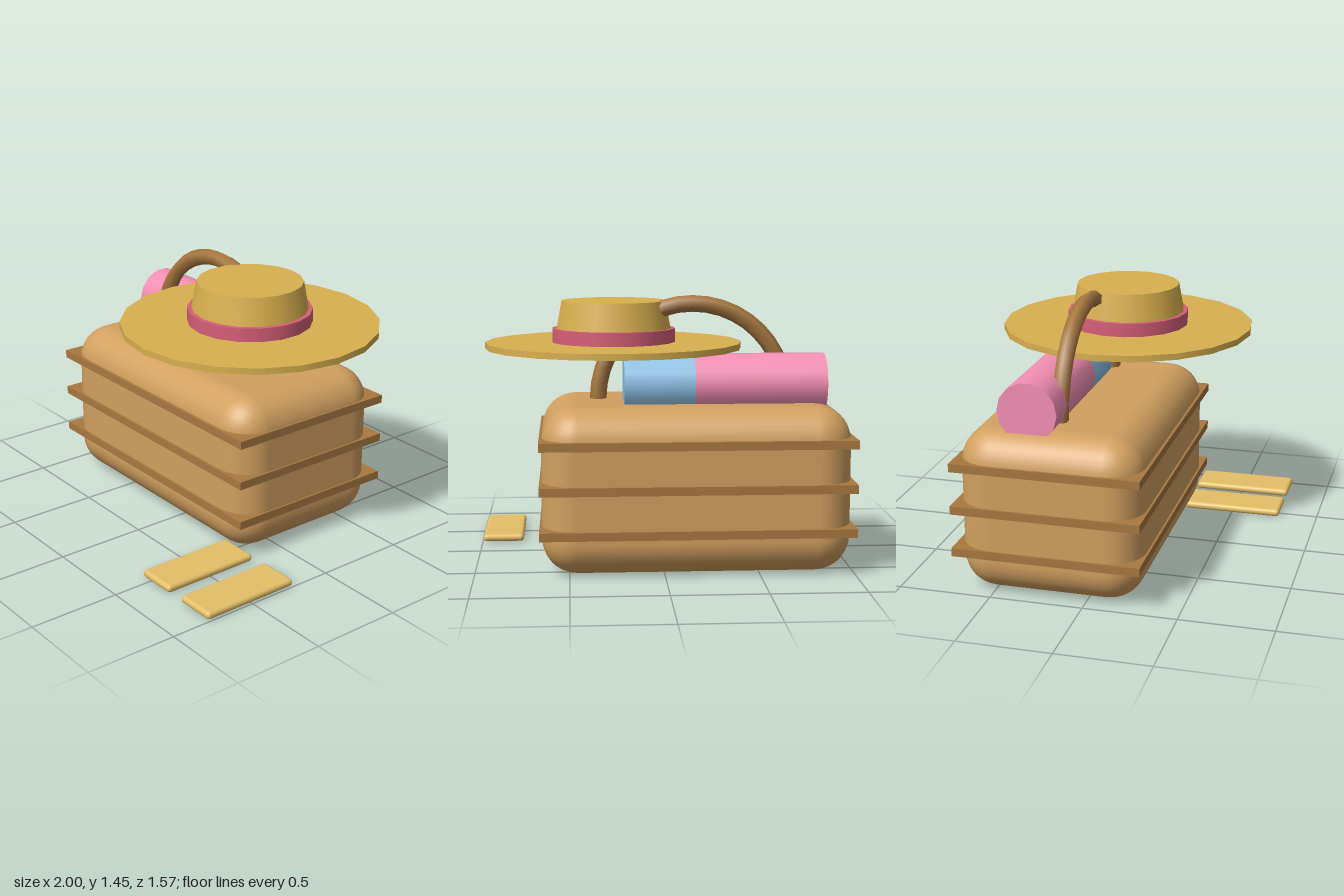
import * as THREE from 'three';
import { RoundedBoxGeometry } from 'three/addons/geometries/RoundedBoxGeometry.js';

const material = (color) => new THREE.MeshStandardMaterial({ color });
const wicker = material(0xd2a060);
const strap = material(0xa87840);
const straw = material(0xd9b04f);
const ribbon = material(0xd65f78);
const pink = material(0xf48fb4);
const blue = material(0x8fc3e8);
const sole = material(0xe5bf68);

export function createModel() {
  const model = new THREE.Group();
  model.name = 'picnicBasketSet';

  function add(name, geometry, mat, x, y, z, parent = model) {
    const mesh = new THREE.Mesh(geometry, mat);
    mesh.name = name;
    mesh.position.set(x, y, z);
    parent.add(mesh);
    return mesh;
  }

  // Basket with three flat bands and an arched hexagonal handle
  const basket = new THREE.Group();
  basket.name = 'basket';
  basket.position.set(-0.172, 0, -0.2);
  model.add(basket);
  add('basketBody', new RoundedBoxGeometry(1.635, 0.885, 0.98, 4, 0.19), wicker, 0, 0.4475, 0, basket);
  for (const y of [0.238, 0.472, 0.705]) {
    add('basketBand', new THREE.BoxGeometry(1.656, 0.045, 1.005), strap, 0, y, 0, basket);
  }
  add('handle', new THREE.TorusGeometry(0.51, 0.045, 6, 20, Math.PI), strap, 0, 0.895, 0, basket);

  // Two-coloured rolled towel lying along x
  const towel = new THREE.Group();
  towel.name = 'rolledTowel';
  towel.position.set(0, 0.988, -0.32);
  model.add(towel);
  for (const [name, x0, x1, mat] of [['pinkRoll', -0.87, -0.17, pink], ['blueRoll', -0.17, 0.205, blue]]) {
    const roll = add(name, new THREE.CylinderGeometry(0.16, 0.16, x1 - x0, 14), mat, (x0 + x1) / 2, 0, 0, towel);
    roll.rotation.z = Math.PI / 2;
  }

  // Sun hat
  const hat = new THREE.Group();
  hat.name = 'sunHat';
  hat.position.set(0.25, 0, -0.083);
  model.add(hat);
  add('brim', new THREE.CylinderGeometry(0.7, 0.7, 0.034, 20), straw, 0, 1.175, 0, hat);
  add('crown', new THREE.CylinderGeometry(0.286, 0.33, 0.235, 18), straw, 0, 1.2985, 0, hat);
  add('hatRibbon', new THREE.CylinderGeometry(0.338, 0.338, 0.076, 18), ribbon, 0, 1.228, 0, hat);

  // Pair of sandals on the ground
  for (const x of [0.55, 0.88]) {
    add('sandal', new RoundedBoxGeometry(0.232, 0.042, 0.56, 3, 0.02), sole, x, 0.026, 0.502);
  }

  return model;
}
